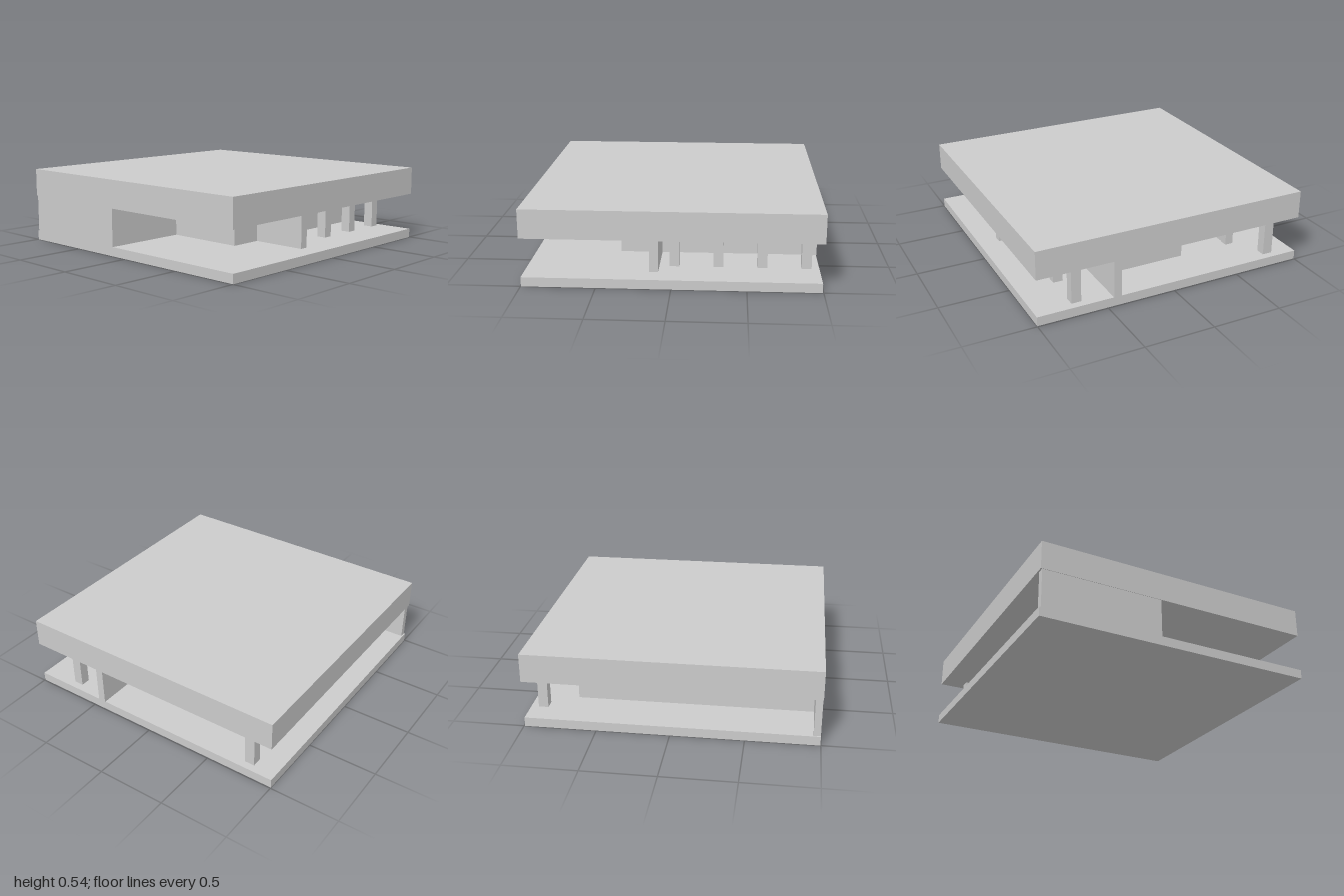
import * as THREE from 'three';

const FLOOR = 0.065, CEILING = 0.335, ROOF = 0.535;

export function createModel() {
  const house = new THREE.Group();
  house.name = 'flatRoofHouse';
  const material = new THREE.MeshStandardMaterial({ color: 0xcccccc });

  // Box given by its extents on each axis
  const block = (name, [x0, x1], [z0, z1], [y0, y1] = [FLOOR, CEILING]) => {
    const mesh = new THREE.Mesh(new THREE.BoxGeometry(x1 - x0, y1 - y0, z1 - z0), material);
    mesh.position.set((x0 + x1) / 2, (y0 + y1) / 2, (z0 + z1) / 2);
    mesh.name = name;
    house.add(mesh);
  };

  // Slabs
  block('floorSlab', [-0.997, 0.993], [-1, 1], [0, FLOOR]);
  block('roofSlab', [-1, 1], [-1, 1], [CEILING, ROOF]);

  // Long outer walls
  block('rightWall', [-0.997, -0.95], [-0.99, -0.13]);
  block('backWall', [-0.95, 0.695], [-0.665, -0.61]);
  block('frontWall', [-0.39, 0.997], [0.4, 0.455]);

  // Recessed front corner and the screen wall of the porch
  block('recessFrontWall', [-0.95, -0.39], [-0.185, -0.13]);
  block('recessSideWall', [-0.39, -0.335], [-0.185, 0.4]);
  block('porchScreenWall', [-0.155, -0.095], [0.455, 0.855]);

  // Left wall with its doorway
  const leftX = [0.64, 0.695];
  block('leftWall', leftX, [-0.23, 0.4]);
  block('doorJamb', leftX, [-0.61, -0.605]);
  block('doorLintel', leftX, [-0.605, -0.23], [0.305, CEILING]);

  // Row of porch posts, and one at the back corner
  for (let i = 0; i < 4; i++) {
    const x = -0.025 + i * 0.299;
    block('porchPost', [x, x + 0.068], [0.667, 0.737]);
  }
  block('backPost', [0.872, 0.94], [-0.835, -0.763]);

  return house;
}
